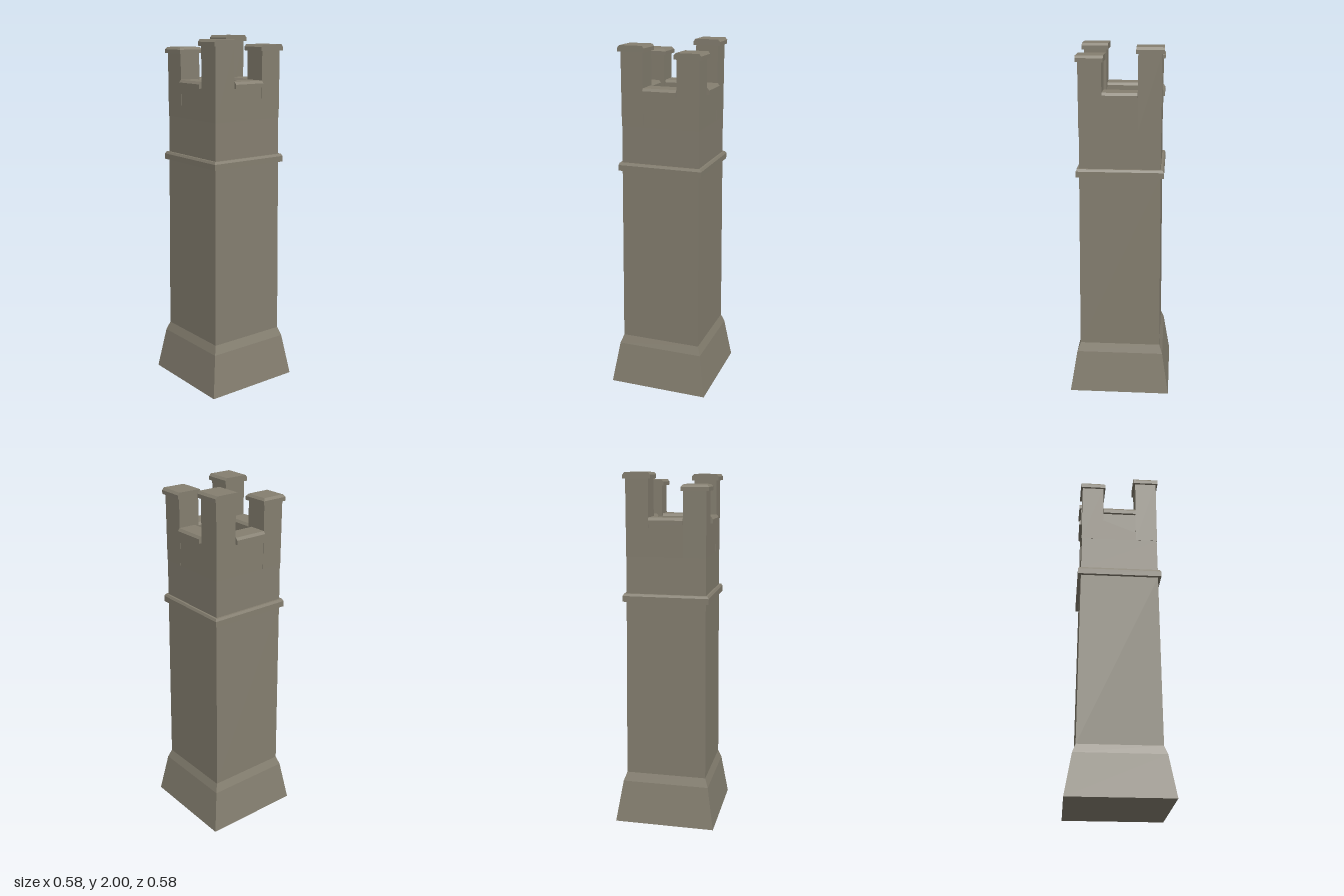
import * as THREE from 'three';

export function createModel() {
  const tower = new THREE.Group();
  tower.name = 'tower';
  const stone = new THREE.MeshStandardMaterial({ color: 0x857f70 });
  stone.name = 'stone';

  const add = (name, geometry, parent = tower) => {
    const mesh = new THREE.Mesh(geometry, stone);
    mesh.name = name;
    parent.add(mesh);
    return mesh;
  };

  // Four-sided block whose bottom and top may differ in size
  const block = (y0, y1, w0, d0, w1 = w0, d1 = d0) => {
    const g = new THREE.BoxGeometry(1, 1, 1).toNonIndexed();
    const p = g.attributes.position;
    for (let i = 0; i < p.count; i++) {
      const top = p.getY(i) > 0;
      p.setXYZ(i, p.getX(i) * (top ? w1 : w0), top ? y1 : y0, p.getZ(i) * (top ? d1 : d0));
    }
    g.computeVertexNormals();
    return g;
  };
  const square = (y0, y1, a, b = a) => block(y0, y1, 2 * a, 2 * a, 2 * b, 2 * b);

  // Flared foot, tapering shaft and string course
  add('foot', square(0, 0.24, 0.288, 0.249));
  add('footSlope', square(0.24, 0.29, 0.249, 0.231));
  add('shaft', square(0.29, 1.3, 0.231, 0.223));
  add('stringCourse', square(1.3, 1.332, 0.241));
  add('stringCourseSlope', square(1.332, 1.345, 0.241, 0.234));
  add('upperShaft', square(1.345, 1.55, 0.223, 0.221));

  // Hollow parapet around the roof
  const outline = (S, r) => new S([[-r, -r], [r, -r], [r, r], [-r, r]].map(([x, y]) => new THREE.Vector2(x, y)));
  const ring = outline(THREE.Shape, 0.221);
  ring.holes.push(outline(THREE.Path, 0.123));
  const parapet = new THREE.ExtrudeGeometry(ring, { depth: 0.18, bevelEnabled: false });
  parapet.rotateX(-Math.PI / 2).translate(0, 1.55, 0);
  add('parapet', parapet);

  // Coping stones between the corner posts, sloped on their long edges
  for (let i = 0; i < 4; i++) {
    const coping = new THREE.Group();
    coping.name = 'coping';
    coping.rotation.y = i * Math.PI / 2;
    add('copingEdge', block(1.725, 1.748, 0.19, 0.122), coping).position.z = 0.175;
    add('copingTop', block(1.748, 1.762, 0.19, 0.122, 0.19, 0.1), coping).position.z = 0.175;
    tower.add(coping);
  }

  // Corner posts with slightly turned caps of uneven height
  const corners = [
    [-1, 1, 1.938, 0.124, 0.012],
    [1, 1, 1.985, 0.148, -0.008],
    [1, -1, 1.955, 0.148, -0.01],
    [-1, -1, 2.0, 0.148, 0.014],
  ];
  for (const [sx, sz, top, topWidth, turn] of corners) {
    const corner = new THREE.Group();
    corner.name = 'cornerPost';
    corner.position.set(sx * 0.16, 0, sz * 0.159);
    add('post', block(1.55, top - 0.03, 0.126, 0.126), corner);
    const cap = new THREE.Group();
    cap.name = 'cap';
    cap.rotation.y = turn;
    add('capEdge', block(top - 0.034, top - 0.013, 0.148, 0.152), cap);
    add('capTop', block(top - 0.013, top, 0.148, 0.152, topWidth, 0.13), cap);
    corner.add(cap);
    tower.add(corner);
  }
  return tower;
}
